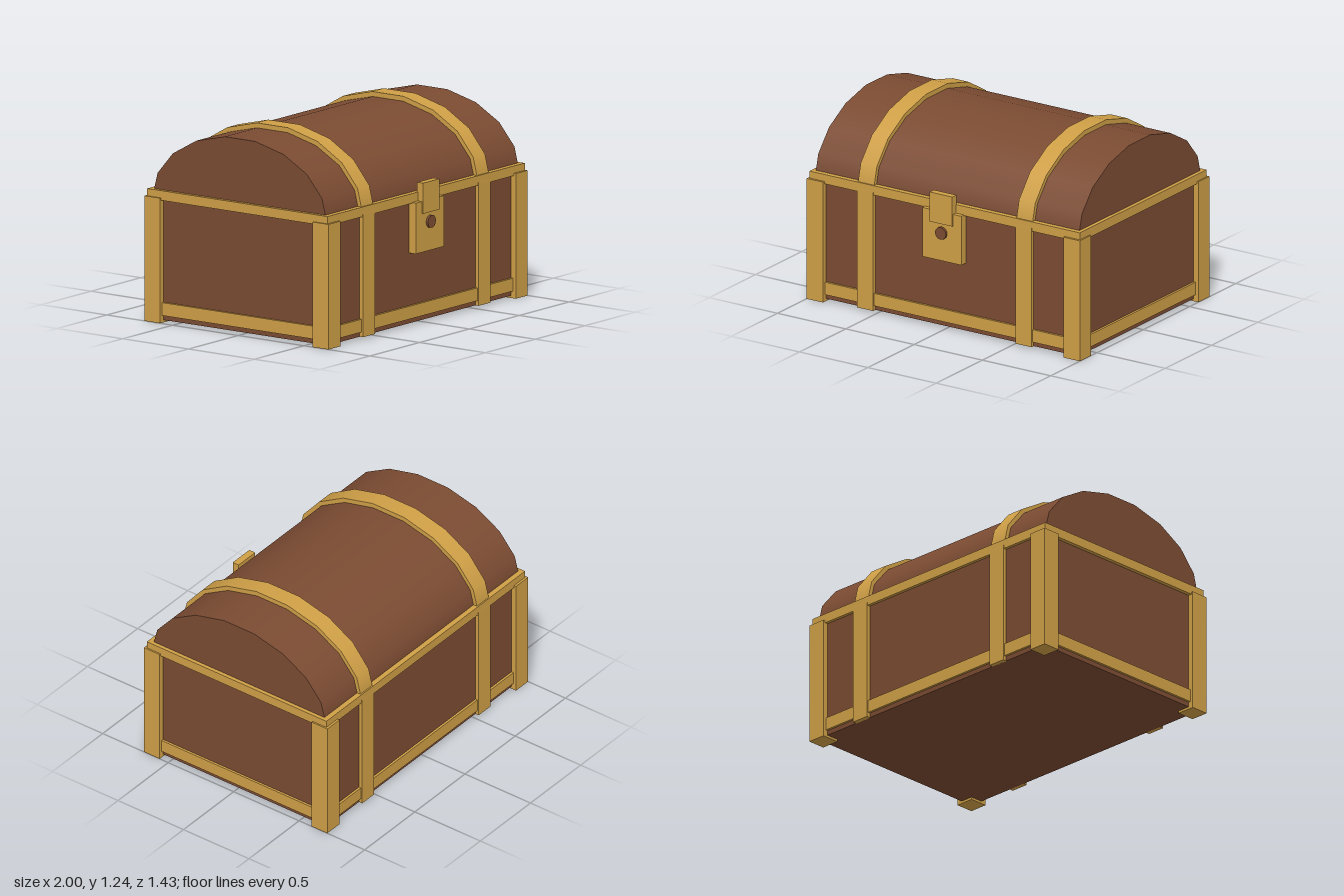
import * as THREE from 'three';

const CZ = -0.015; // depth centre of the chest body
const SPRING = 0.766; // height where the lid arch starts

export function createModel() {
  const wood = new THREE.MeshStandardMaterial({ color: 0x7b4b32 });
  wood.name = 'wood';
  const brass = new THREE.MeshStandardMaterial({ color: 0xcf9f46 });
  brass.name = 'brass';
  const chest = new THREE.Group();
  chest.name = 'chest';

  const add = (name, geometry, material, x, y, z) => {
    const mesh = new THREE.Mesh(geometry, material);
    mesh.name = name;
    mesh.position.set(x, y, z);
    chest.add(mesh);
  };
  // Box given by its centre x and z, and its bottom and top
  const box = (name, material, w, y0, y1, d, x = 0, z = CZ) =>
    add(name, new THREE.BoxGeometry(w, y1 - y0, d), material, x, (y0 + y1) / 2, z);
  // Half barrel lying along x, nine facets over the arch
  const arch = (name, material, width, rise, depth, x = 0) => {
    const g = new THREE.CylinderGeometry(1, 1, width, 9, 1, false, 0, Math.PI);
    g.rotateZ(Math.PI / 2);
    g.scale(1, rise, depth);
    add(name, g, material, x, SPRING, CZ);
  };

  // Wooden body and domed lid
  box('body', wood, 1.93, 0.015, 0.77, 1.33);
  arch('lid', wood, 1.93, 0.45, 0.665);

  // Rim and bottom trim
  box('rim', brass, 1.98, 0.76, 0.82, 1.37);
  for (const s of [-1, 1]) {
    box('bottomTrimLong', brass, 1.96, 0.045, 0.125, 0.03, 0, CZ + s * 0.665);
    box('bottomTrimSide', brass, 0.03, 0.045, 0.125, 1.34, s * 0.965);
  }

  for (const sx of [-1, 1]) {
    // Strap over the lid, continued down the front and back
    arch('lidStrap', brass, 0.118, 0.481, 0.69, sx * 0.58);
    for (const sz of [-1, 1]) {
      box('bodyStrap', brass, 0.118, 0.015, SPRING, 0.04, sx * 0.58, CZ + sz * 0.67);
      box('cornerPost', brass, 0.12, 0, 0.775, 0.12, sx * 0.94, CZ + sz * 0.64);
    }
  }

  // Lock plate, hasp and round keyhole stud
  box('lockPlate', brass, 0.285, 0.45, 0.765, 0.05, 0, 0.675);
  box('hasp', brass, 0.165, 0.69, 0.88, 0.045, 0, 0.6875);
  const stud = new THREE.CylinderGeometry(0.04, 0.04, 0.04, 12);
  stud.rotateX(Math.PI / 2);
  add('keyholeStud', stud, wood, 0, 0.63, 0.695);

  return chest;
}
